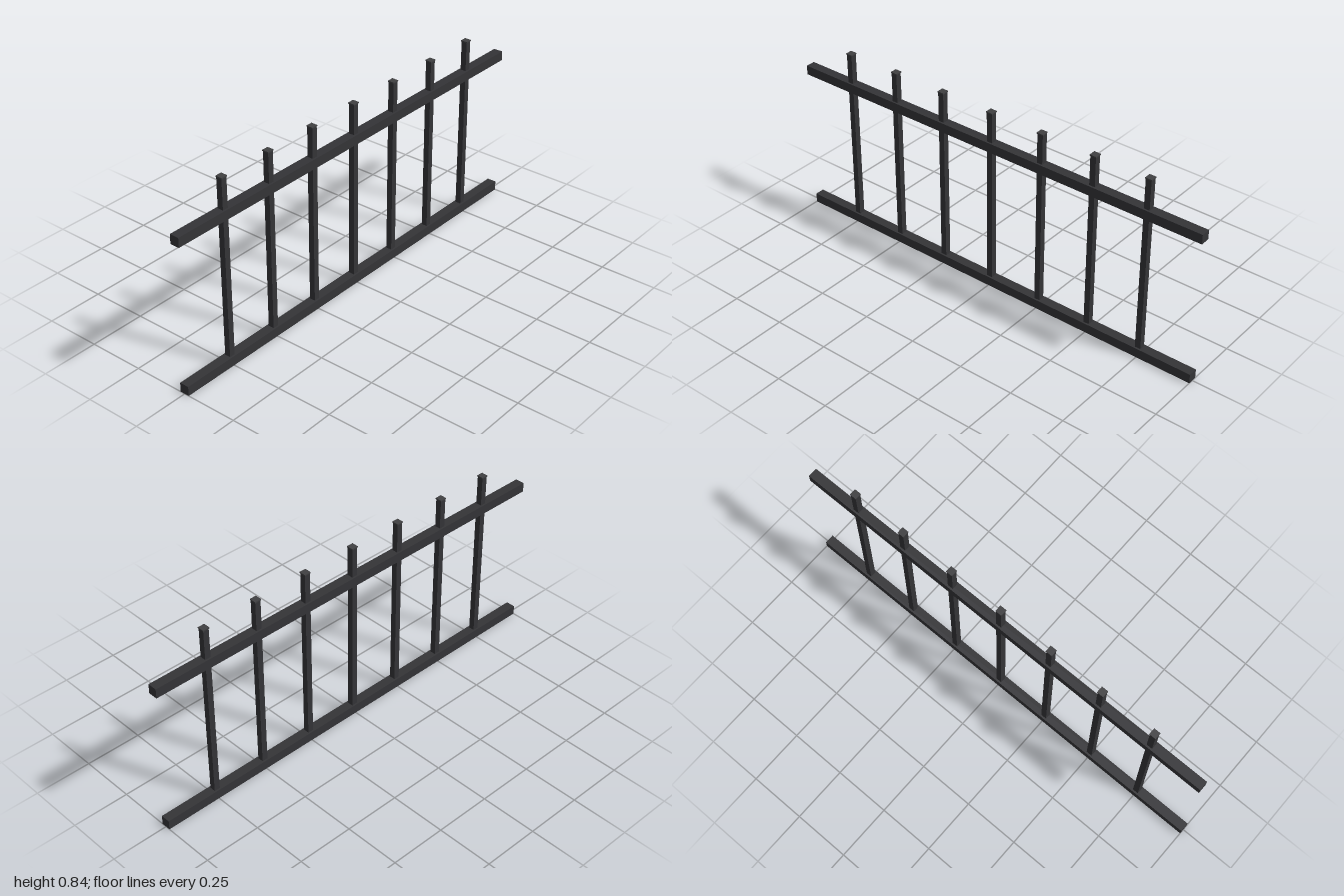
import * as THREE from 'three';

export function createModel() {
  const fence = new THREE.Group();
  fence.name = 'fencePanel';

  const iron = new THREE.MeshStandardMaterial({ color: 0x343437 });
  iron.name = 'dark iron';
  const capIron = new THREE.MeshStandardMaterial({ color: 0x404042 });
  capIron.name = 'cap grey';

  const RAIL = 0.042, BAR = 0.026, CAP = 0.03;
  const TOP = 0.836, CAP_HEIGHT = 0.005;

  // Box placed by its bottom height
  function box(name, w, h, d, x, bottom, material) {
    const mesh = new THREE.Mesh(new THREE.BoxGeometry(w, h, d), material);
    mesh.name = name;
    mesh.position.set(x, bottom + h / 2, 0);
    fence.add(mesh);
  }

  // Horizontal rails
  box('bottomRail', 2, RAIL, RAIL, 0, 0, iron);
  box('topRail', 2, RAIL, RAIL, 0, 0.657, iron);

  // Evenly spaced upright bars with thin flat caps
  const barBottom = RAIL / 2;
  for (let i = -3; i <= 3; i++) {
    const x = i * 0.25;
    box('upright', BAR, TOP - CAP_HEIGHT - barBottom, BAR, x, barBottom, iron);
    box('uprightCap', CAP, CAP_HEIGHT, CAP, x, TOP - CAP_HEIGHT, capIron);
  }

  return fence;
}
